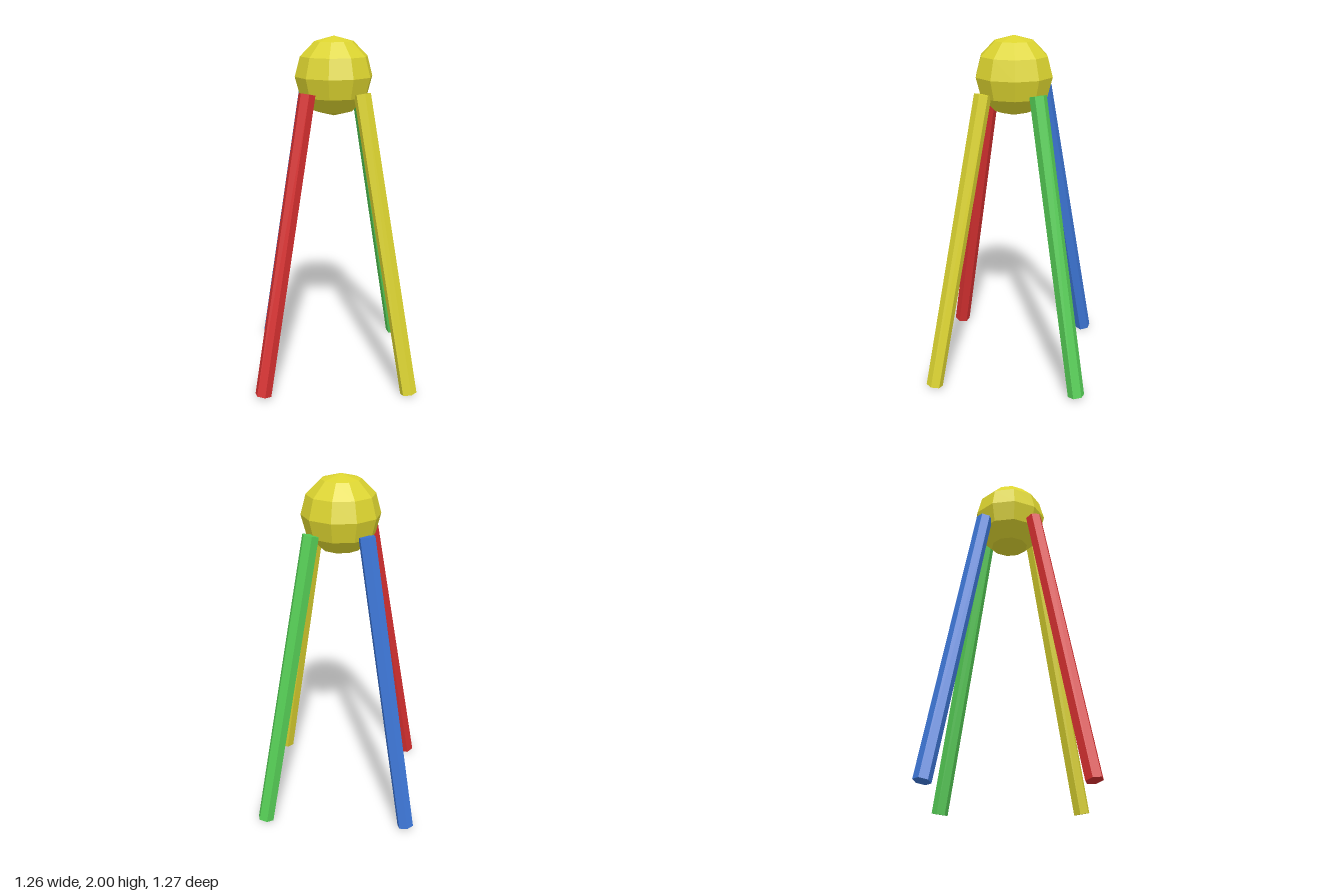
import * as THREE from 'three';

const flat = (name, color) => {
  const m = new THREE.MeshStandardMaterial({ color, flatShading: true });
  m.name = name;
  return m;
};

export function createModel() {
  const yellow = flat('yellow', 0xdcd430);
  const red = flat('red', 0xd63030);
  const green = flat('green', 0x55cc55);
  const blue = flat('blue', 0x3d76d6);

  const model = new THREE.Group();
  model.name = 'ballOnFourLegs';

  // Faceted head, turned so that corners point to front and back
  const head = new THREE.Mesh(new THREE.SphereGeometry(0.222, 10, 6), yellow);
  head.name = 'head';
  head.position.y = 1.778;
  head.rotation.y = Math.PI / 2;
  model.add(head);

  // Four hexagonal legs splayed outwards
  const legShape = new THREE.CylinderGeometry(0.048, 0.048, 1.727, 6);
  const splay = 0.22;
  const reach = 0.402;
  const legs = [
    ['frontLeg', red, 0, 1],
    ['backLeg', green, 0, -1],
    ['leftLeg', yellow, 1, 0],
    ['rightLeg', blue, -1, 0],
  ];
  for (const [name, material, dx, dz] of legs) {
    const leg = new THREE.Mesh(legShape, material);
    leg.name = name;
    leg.position.set(dx * reach, 0.853, dz * reach);
    leg.rotation.set(-dz * splay, 0, dx * splay);
    model.add(leg);
  }
  return model;
}
